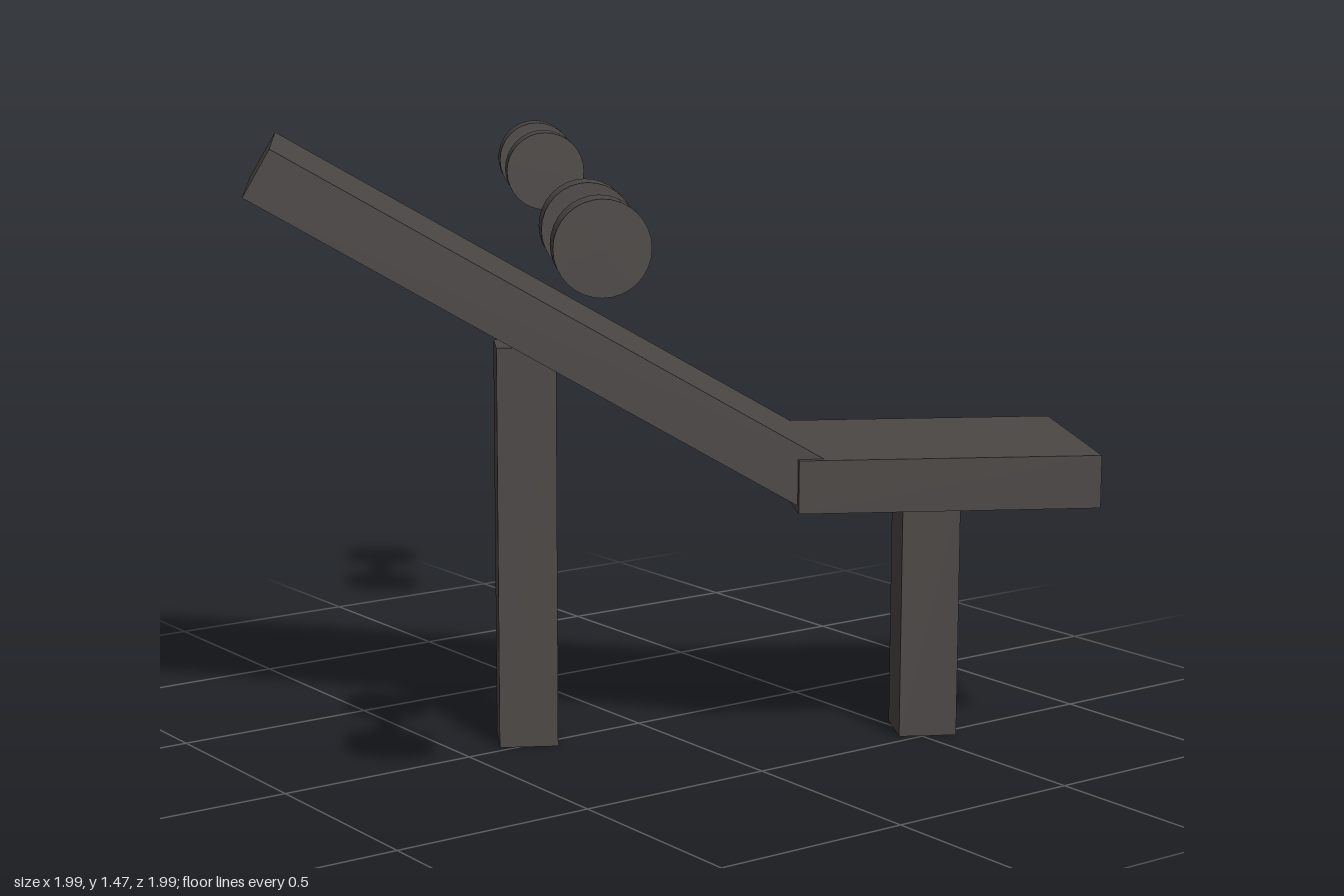
import * as THREE from 'three';

export function createModel() {
  const model = new THREE.Group();
  model.name = 'inclineBenchWithDumbbells';
  const charcoal = new THREE.MeshStandardMaterial({ color: 0x4b4745 });
  charcoal.name = 'charcoal';

  const CENTER_X = 0.109; // centre line of the bench before it is turned
  const LEG = 0.142;

  function addMesh(parent, name, geometry, x, y, z) {
    const mesh = new THREE.Mesh(geometry, charcoal);
    mesh.name = name;
    mesh.position.set(x, y, z);
    parent.add(mesh);
    return mesh;
  }

  // Everything is laid out along z, then turned 30 degrees about y
  const set = new THREE.Group();
  set.name = 'turnedSet';
  set.rotation.y = -Math.PI / 6;
  model.add(set);

  // Bench: flat seat and tilted backrest
  const bench = new THREE.Group();
  bench.name = 'bench';
  set.add(bench);
  addMesh(bench, 'seat', new THREE.BoxGeometry(0.542, 0.127, 0.722), CENTER_X, 0.67, -0.701);
  const backrest = addMesh(bench, 'backrest', new THREE.BoxGeometry(0.504, 0.127, 1.51), CENTER_X, 1.037, 0.251);
  backrest.rotation.x = -Math.PI / 6;

  // Square legs: [name, height, z]
  for (const [name, height, z] of [['backrestLeg', 0.98, 0.285], ['seatLeg', 0.61, -0.697]]) {
    addMesh(bench, name, new THREE.BoxGeometry(LEG, height, LEG), CENTER_X, height / 2, z);
  }

  // Dumbbells, one on each side of the backrest
  const head = new THREE.CylinderGeometry(0.1, 0.1, 0.09, 32).rotateZ(Math.PI / 2);
  const bar = new THREE.CylinderGeometry(0.027, 0.027, 0.36, 24).rotateZ(Math.PI / 2);
  for (const side of [-1, 1]) {
    const dumbbell = new THREE.Group();
    dumbbell.name = side < 0 ? 'rightDumbbell' : 'leftDumbbell';
    dumbbell.position.set(CENTER_X + side * 0.868, 1.333, 0.19);
    addMesh(dumbbell, 'handle', bar, 0, 0, 0);
    for (const end of [-1, 1]) addMesh(dumbbell, 'weight', head, end * 0.177, 0, 0);
    set.add(dumbbell);
  }

  return model;
}
